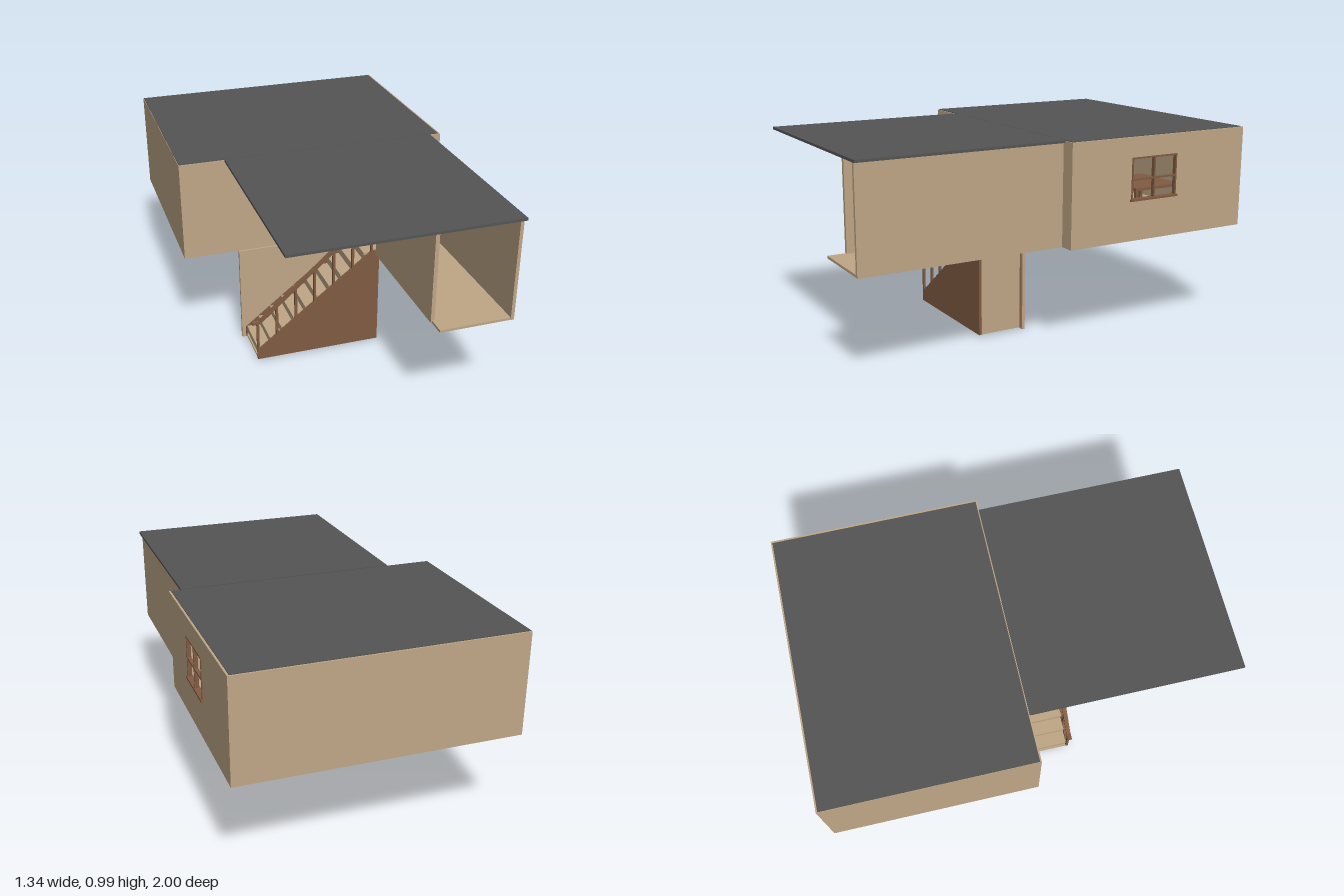
import * as THREE from 'three';

export function createModel() {
  const root = new THREE.Group();
  root.name = 'raisedHouse';
  const mat = (name, color, side = THREE.FrontSide) => {
    const m = new THREE.MeshStandardMaterial({ color, side });
    m.name = name;
    return m;
  };
  const tan = mat('tanWall', 0xc0a787);
  const brown = mat('brownWood', 0x805b43);
  const slate = mat('darkRoof', 0x555555);
  const white = mat('doorWhite', 0xdedede);
  const glass = mat('doorGlass', 0xc6c6c6);
  const dark = mat('darkTrim', 0x4c4c4c);

  const group = (name) => {
    const g = new THREE.Group();
    g.name = name;
    root.add(g);
    return g;
  };
  const add = (parent, name, geo, material) => {
    const m = new THREE.Mesh(geo, material);
    m.name = name;
    parent.add(m);
    return m;
  };
  // box given by its limits on each axis
  const box = (parent, name, material, x0, x1, y0, y1, z0, z1) => {
    const m = add(parent, name, new THREE.BoxGeometry(x1 - x0, y1 - y0, z1 - z0), material);
    m.position.set((x0 + x1) / 2, (y0 + y1) / 2, (z0 + z1) / 2);
    return m;
  };
  // outline in x, y extruded from z0 to z1
  const slab = (parent, name, material, pts, z0, z1) => {
    const shape = new THREE.Shape(pts.map(([x, y]) => new THREE.Vector2(x, y)));
    const m = add(parent, name, new THREE.ExtrudeGeometry(shape, { depth: z1 - z0, bevelEnabled: false }), material);
    m.position.z = z0;
    return m;
  };

  // main room shell
  const room = group('mainRoom');
  box(room, 'floor', tan, -0.67, 0.66, 0.5, 0.515, -1, 0);
  box(room, 'backWall', tan, -0.67, 0.66, 0.515, 0.99, -1, -0.99);
  box(room, 'frontWall', tan, -0.67, 0.66, 0.515, 0.99, -0.01, 0);
  box(room, 'leftEndWall', tan, -0.67, -0.66, 0.515, 0.99, -0.99, -0.01);
  box(room, 'mainRoof', slate, -0.668, 0.65, 0.982, 0.993, -0.992, -0.007);
  // window wall around its opening
  const [wz0, wz1, wy0, wy1] = [-0.59, -0.33, 0.695, 0.895];
  box(room, 'windowWallBelow', tan, 0.65, 0.66, 0.515, wy0, -0.99, -0.01);
  box(room, 'windowWallAbove', tan, 0.65, 0.66, wy1, 0.99, -0.99, -0.01);
  box(room, 'windowWallRear', tan, 0.65, 0.66, wy0, wy1, -0.99, wz0);
  box(room, 'windowWallFront', tan, 0.65, 0.66, wy0, wy1, wz1, -0.01);

  // window frame and bars
  const win = group('window');
  for (const z of [wz0, (wz0 + wz1) / 2 - 0.004, wz1 - 0.008])
    box(win, 'windowUpright', brown, 0.645, 0.664, wy0, wy1, z, z + 0.008);
  for (const y of [0.787, wy1 - 0.008])
    box(win, 'windowRail', brown, 0.646, 0.663, y, y + 0.008, wz0, wz1);
  box(win, 'windowSill', brown, 0.64, 0.67, 0.69, 0.7, wz0 - 0.006, wz1 + 0.006);

  // furniture behind the window
  const furniture = group('furniture');
  box(furniture, 'dresser', brown, 0.3, 0.52, 0.515, 0.788, -0.43, -0.2);
  for (const y of [0.6, 0.67, 0.74])
    box(furniture, 'drawerLine', dark, 0.52, 0.523, y, y + 0.005, -0.42, -0.21);
  box(furniture, 'tableTop', brown, 0.2, 0.5, 0.693, 0.706, -0.75, -0.48);
  for (const x of [0.21, 0.475]) for (const z of [-0.74, -0.505])
    box(furniture, 'tableLeg', brown, x, x + 0.015, 0.515, 0.693, z, z + 0.015);

  // entrance passage, open at its front end and beside the stairs
  const hall = group('passage');
  box(hall, 'passageFloor', tan, 0.235, 0.587, 0.5, 0.512, 0, 0.995);
  box(hall, 'passageRightWall', tan, 0.572, 0.588, 0.5, 0.983, 0, 0.997);
  box(hall, 'passageLeftWall', tan, 0.23, 0.248, 0.5, 0.983, 0.25, 0.91);
  box(hall, 'stairOpeningHeader', tan, 0.23, 0.248, 0.85, 0.983, 0, 0.25);
  box(hall, 'canopyRoof', slate, -0.45, 0.603, 0.982, 0.994, -0.002, 1);

  // front door
  const door = group('frontDoor');
  box(door, 'doorLeaf', white, 0.32, 0.502, 0.52, 0.928, 0, 0.01);
  box(door, 'doorGlass', glass, 0.34, 0.482, 0.69, 0.9, 0.01, 0.013);
  for (const x of [0.302, 0.501]) box(door, 'doorJamb', brown, x, x + 0.019, 0.512, 0.945, 0, 0.018);
  box(door, 'doorHead', brown, 0.321, 0.501, 0.927, 0.945, 0, 0.018);
  box(door, 'doorStep', brown, 0.321, 0.501, 0.512, 0.522, 0, 0.018);
  for (const y of [0.55, 0.666]) box(door, 'panelRail', dark, 0.34, 0.482, y, y + 0.005, 0.01, 0.014);
  for (const x of [0.34, 0.477]) box(door, 'panelStile', dark, x, x + 0.005, 0.555, 0.666, 0.01, 0.014);
  add(door, 'doorKnobRing', new THREE.SphereGeometry(0.009, 16, 12), dark).position.set(0.488, 0.688, 0.016);
  add(door, 'doorKnob', new THREE.SphereGeometry(0.007, 16, 12), glass).position.set(0.488, 0.688, 0.022);

  // staircase body
  const stairs = group('staircase');
  box(stairs, 'stairBackWall', tan, -0.4, 0.258, 0, 0.5, -0.005, 0.01);
  box(stairs, 'stairEndPanel', tan, 0.243, 0.252, 0.012, 0.5, 0.022, 0.235);
  box(stairs, 'stairBase', tan, -0.378, 0.243, 0.01, 0.02, 0.022, 0.235);
  const side = [[-0.38, 0.01], [0.25, 0.01], [0.25, 0.52], [0.21, 0.52], [-0.38, 0.06]];
  slab(stairs, 'frontStringer', brown, side, 0.235, 0.248);
  slab(stairs, 'rearStringer', brown, side, 0.01, 0.022);
  const steps = 10, run = 0.061, rise = 0.049;
  for (let i = 0; i < steps; i++) {
    const x = -0.37 + i * run, y = 0.02 + i * rise;
    box(stairs, 'riser', tan, x, x + 0.008, y, y + rise - 0.01, 0.022, 0.235);
    box(stairs, 'tread', tan, x - 0.006, x + run + 0.008, y + rise - 0.01, y + rise, 0.022, 0.235);
  }

  // handrail and posts
  const rail = group('handrail');
  slab(rail, 'railCap', brown, [
    [-0.405, 0.213], [-0.366, 0.213], [0.2, 0.71], [0.228, 0.71],
    [0.228, 0.722], [0.192, 0.722], [-0.372, 0.225], [-0.405, 0.225],
  ], 0.231, 0.252);
  for (let i = 0; i < 7; i++) {
    const x = -0.376 + i * 0.0978;
    const foot = 0.055 + (x + 0.38) * 0.78;
    const top = Math.min(0.712, 0.218 + (x + 0.37) * 0.878);
    box(rail, 'railPost', brown, x - 0.006, x + 0.006, foot - 0.01, top, 0.2355, 0.2475);
  }
  return root;
}
